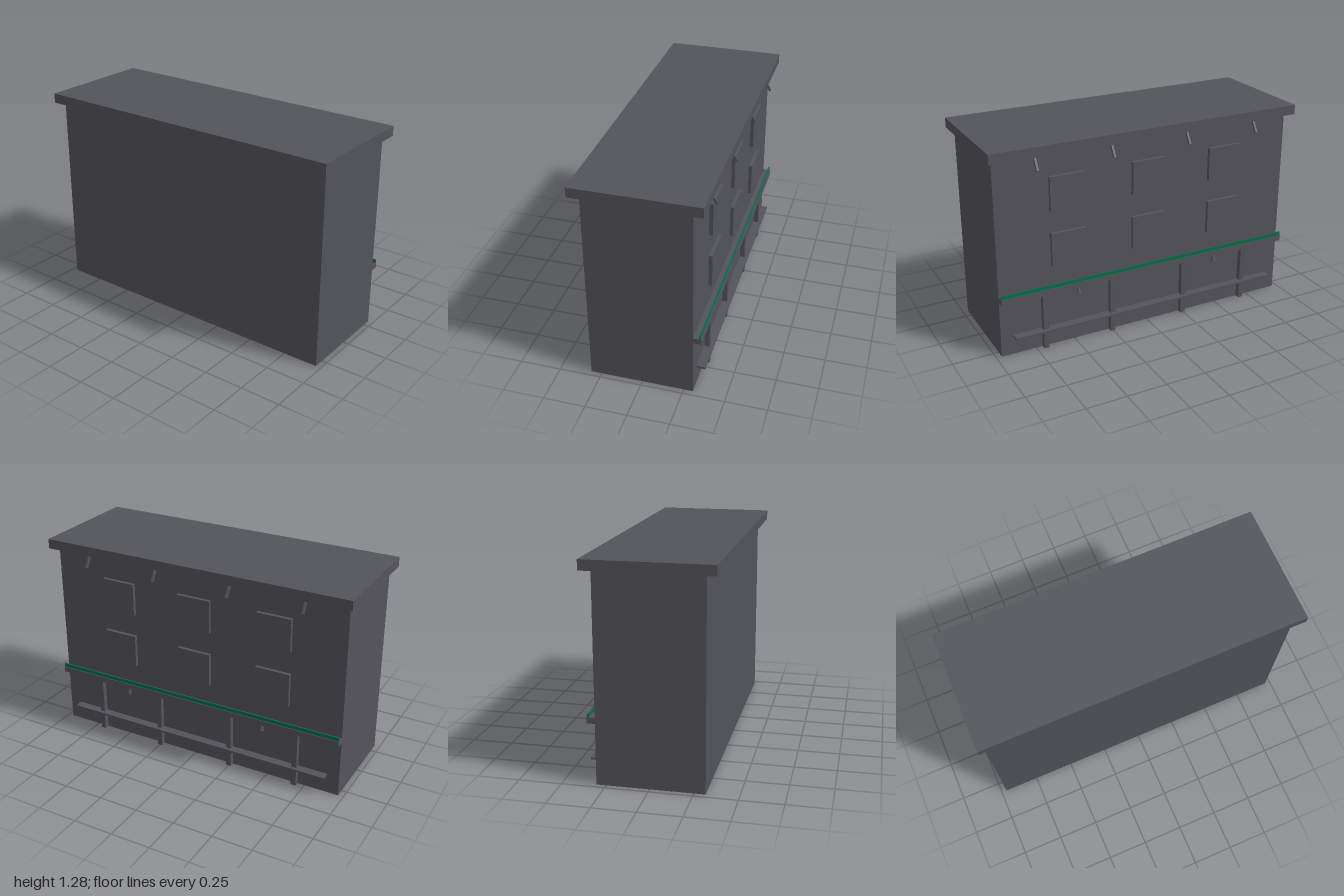
import * as THREE from 'three';

export function createModel() {
  const group = new THREE.Group();
  const grey = new THREE.MeshStandardMaterial({ color: 0x53535b });
  grey.name = 'slate grey';
  const green = new THREE.MeshStandardMaterial({ color: 0x0f6b4c });
  green.name = 'sign green';

  function add(name, geometry, material = grey) {
    const mesh = new THREE.Mesh(geometry, material);
    mesh.name = name;
    group.add(mesh);
    return mesh;
  }

  // Box given by its limits on each axis
  function box(name, x0, x1, y0, y1, z0, z1, material) {
    const mesh = add(name, new THREE.BoxGeometry(x1 - x0, y1 - y0, z1 - z0), material);
    mesh.position.set((x0 + x1) / 2, (y0 + y1) / 2, (z0 + z1) / 2);
    return mesh;
  }

  const wall = 0.305; // facade plane, facing +x

  // Main block and overhanging flat roof
  box('building', -0.315, wall, 0, 1.22, -0.967, 0.967);
  box('roof', -0.375, 0.367, 1.22, 1.28, -1, 1);

  // Two rows of three window panels
  for (const y of [0.522, 0.869]) {
    for (const z of [-0.524, 0, 0.526]) {
      box('window', wall - 0.01, 0.327, y, y + 0.206, z - 0.11, z + 0.11);
    }
  }

  // Ledge over the ground floor with a green strip standing on it
  box('ledge', wall - 0.01, 0.353, 0.36, 0.395, -0.967, 0.967);
  box('greenStrip', 0.339, 0.348, 0.395, 0.418, -0.967, 0.967, green);

  // Pilasters and the counter running across them
  for (const z of [-0.689, -0.247, 0.251, 0.692]) {
    box('pilaster', wall - 0.01, 0.336, 0, 0.36, z - 0.016, z + 0.016);
  }
  box('counter', wall - 0.01, 0.358, 0.113, 0.127, -0.89, 0.89);

  // Small tilted lamps under the ledge
  for (const z of [-0.469, 0.474]) {
    const lamp = add('lamp', new THREE.CylinderGeometry(0.008, 0.014, 0.032, 16));
    lamp.position.set(0.328, 0.332, z);
    lamp.rotation.z = 0.2;
  }

  // Slanted brackets below the eaves
  const start = new THREE.Vector2(0.315, 1.226);
  const end = new THREE.Vector2(0.368, 1.141);
  const slope = end.clone().sub(start);
  for (const z of [-0.717, -0.246, 0.25, 0.722]) {
    const bracket = add('eavesBracket', new THREE.BoxGeometry(slope.length(), 0.014, 0.013));
    bracket.position.set((start.x + end.x) / 2, (start.y + end.y) / 2, z);
    bracket.rotation.z = slope.angle();
  }

  return group;
}
